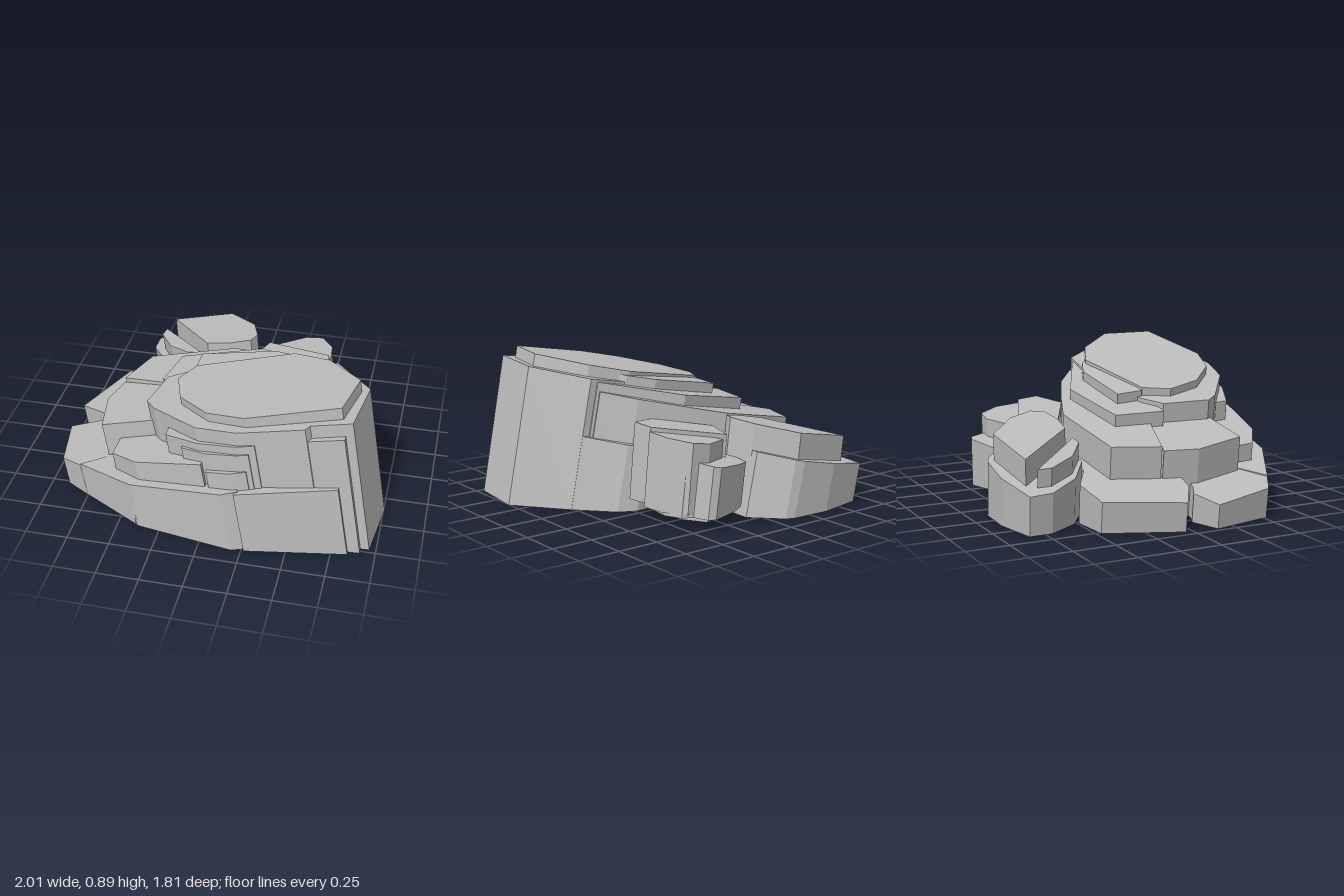
import * as THREE from 'three';

const stone = new THREE.MeshStandardMaterial({ color: 0xbcbcbc, side: THREE.DoubleSide });
stone.name = 'grey stone';

// The strata lean: every slab drifts towards +x (and slightly +z) as it goes down,
// and every top surface rises gently towards the front.
const LEAN_X = 0.17, LEAN_Z = 0.045, SLOPE_Z = 0.06;

// A slab: top outline [x, z], top plane y = h + slope * x + SLOPE_Z * z, down to the floor.
// Slabs that reach the ground are left open underneath.
function slab(name, outline, h, slope, floor = 0, leanX = LEAN_X) {
  const shape = new THREE.Shape(outline.map(([x, z]) => new THREE.Vector2(x, -z)));
  const solid = new THREE.ExtrudeGeometry(shape, { depth: 1, bevelEnabled: false });
  solid.rotateX(-Math.PI / 2);
  const bottomFloats = floor === 0 ? (outline.length - 2) * 9 : 0;
  const geo = new THREE.BufferGeometry();
  geo.setAttribute('position', new THREE.BufferAttribute(solid.attributes.position.array.slice(bottomFloats), 3));
  const p = geo.attributes.position;
  for (let i = 0; i < p.count; i++) {
    const x = p.getX(i), z = p.getZ(i), top = h + slope * x + SLOPE_Z * z;
    if (p.getY(i) > 0.5) p.setXYZ(i, x, top, z);
    else p.setXYZ(i, x + leanX * (top - floor), floor, z + LEAN_Z * (top - floor));
  }
  geo.computeVertexNormals();
  const mesh = new THREE.Mesh(geo, stone);
  mesh.name = name;
  return mesh;
}

function cluster(name, slabs) {
  const g = new THREE.Group();
  g.name = name;
  slabs.forEach(s => g.add(slab(...s)));
  return g;
}

// Crossing ribs below the ceiling of the underside, cut to its convex outline
function ribs(outline, height, spacing) {
  const g = new THREE.Group();
  g.name = 'undersideRibs';
  for (const side of [-1, 1]) {
    for (let c = -2; c <= 2; c += spacing) {
      const hits = [];
      outline.forEach(([x0, z0], i) => {
        const [x1, z1] = outline[(i + 1) % outline.length];
        const d0 = x0 + side * z0 - c, d1 = x1 + side * z1 - c;
        if (d0 * d1 < 0) {
          const t = d0 / (d0 - d1);
          hits.push(new THREE.Vector2(x0 + t * (x1 - x0), z0 + t * (z1 - z0)));
        }
      });
      if (hits.length !== 2) continue;
      const [a, b] = hits;
      const rib = new THREE.Mesh(new THREE.BoxGeometry(a.distanceTo(b), height, 0.015), stone);
      rib.name = 'rib';
      rib.position.set((a.x + b.x) / 2, height / 2, (a.y + b.y) / 2);
      rib.rotation.y = -Math.atan2(b.y - a.y, b.x - a.x);
      g.add(rib);
    }
  }
  return g;
}

export function createModel() {
  const model = new THREE.Group();
  model.name = 'layeredRock';

  // Tall central mass with its stacked upper layers
  model.add(cluster('mainRock', [
    ['topCap', [[-0.19, 0.09], [0.38, -0.01], [0.6, 0.09], [0.81, 0.34], [0.75, 0.64], [0.23, 0.72], [0, 0.65], [-0.2, 0.46],
      [-0.27, 0.24]], 0.712, 0.19, 0.5],
    ['upperBlock', [[-0.36, 0.14], [-0.22, 0.06], [0.36, -0.02], [0.64, 0.01], [0.866, 0.32], [0.82, 0.69],
      [0.59, 0.71], [0.57, 0.75], [0.2, 0.78], [-0.05, 0.72], [-0.35, 0.5], [-0.41, 0.42]], 0.658, 0.165],
    ['upperBackStep', [[-0.2, 0.08], [-0.2, -0.08], [0.25, -0.09], [0.41, -0.02], [0.5, 0.1]], 0.695, 0.17],
    ['middleBackStep', [[-0.4, 0.12], [-0.35, -0.17], [-0.03, -0.21], [0.14, -0.23], [0.42, -0.09], [0.6, 0.0], [0.6, 0.2]], 0.635, 0.18],
    ['lowerBackStep', [[-0.59, -0.32], [-0.06, -0.37], [0.14, -0.29], [0.43, -0.16], [0.6, -0.02], [0.5, 0.2], [-0.36, 0.05],
      [-0.69, -0.05]], 0.57, 0.2],
    ['rightBackFoot', [[0.3, -0.22], [0.42, -0.23], [0.52, -0.18], [0.7, 0.03], [0.6, 0.3], [0.2, 0.1]], 0.325, 0.15],
    ['leftShoulder', [[-0.69, -0.04], [-0.36, 0.05], [-0.2, 0.2], [-0.2, 0.44], [-0.41, 0.45], [-0.68, 0.47], [-0.74, 0.16]], 0.555, 0.215],
  ]));

  // Thin steps stacked against the front
  model.add(cluster('frontSteps', [
    ['frontStepHigh', [[-0.24, 0.5], [-0.24, 0.65], [-0.03, 0.75], [0.2, 0.795], [0.3, 0.785], [0.3, 0.5]], 0.57, 0.18],
    ['frontStepMiddle', [[-0.13, 0.6], [-0.13, 0.72], [0.03, 0.785], [0.2, 0.805], [0.27, 0.8], [0.27, 0.6]], 0.52, 0.17],
    ['frontStepLeft', [[-0.57, 0.47], [-0.57, 0.63], [-0.4, 0.74], [0, 0.8], [0, 0.5], [-0.38, 0.44]], 0.455, 0.225],
    ['frontStepSmall', [[0.03, 0.7], [0.03, 0.81], [0.16, 0.83], [0.26, 0.815], [0.26, 0.7]], 0.41, 0.18],
    ['frontApron', [[-0.79, 0.59], [-0.57, 0.46], [0.1, 0.4], [0.22, 0.85], [0.13, 0.885], [-0.42, 0.8]], 0.305, 0.155],
    ['frontPanel', [[0.2, 0.6], [0.2, 0.876], [0.77, 0.775], [0.77, 0.6]], 0.31, 0.105],
    ['frontWall', [[-0.05, 0.5], [-0.05, 0.715], [0.2, 0.775], [0.785, 0.735], [0.785, 0.5]], 0.575, 0.17],
  ]));

  // Low slabs spreading out on the right-hand flank
  model.add(cluster('flankSlabs', [
    ['flankFront', [[-1, 0.14], [-0.82, 0.08], [-0.74, 0.12], [-0.4, 0.2], [-0.5, 0.5], [-0.79, 0.59], [-0.925, 0.51]], 0.32, 0.185],
    ['flankBack', [[-0.98, -0.05], [-0.8, -0.48], [-0.56, -0.5], [-0.4, -0.4], [0.05, -0.38], [0.05, -0.25], [-0.4, -0.2],
      [-0.5, 0.1], [-0.8, 0.06]], 0.372, 0.2],
  ]));

  // Separate boulder at the back right
  model.add(cluster('backBoulder', [
    ['boulderCap', [[-0.57, -0.83], [-0.19, -0.865], [0, -0.68], [0.05, -0.53], [0.02, -0.46], [-0.12, -0.435], [-0.26, -0.45]],
      0.575, 0.2, 0.07, 0.08],
    ['boulderChip', [[-0.62, -0.78], [-0.3, -0.42], [-0.38, -0.42], [-0.53, -0.53], [-0.63, -0.7]], 0.53, 0.2, 0.05],
    ['boulderBase', [[-0.69, -0.855], [-0.42, -0.91], [-0.19, -0.9], [-0.14, -0.88], [0.01, -0.72], [0, -0.5], [-0.1, -0.42], [-0.38, -0.4],
      [-0.57, -0.53], [-0.69, -0.72]], 0.42, 0.2],
  ]));

  // Separate boulder at the back left, lifted a little off the ground
  model.add(cluster('sideBoulder', [
    ['sideCap', [[0.12, -0.585], [0.53, -0.41], [0.545, -0.28], [0.36, -0.19], [0.04, -0.36]], 0.49, 0.14, 0.1, 0.06],
    ['sideMiddle', [[0.16, -0.6], [0.34, -0.7], [0.45, -0.69], [0.53, -0.56], [0.54, -0.41], [0.3, -0.4]], 0.465, 0.14, 0.08, 0.06],
    ['sideBase', [[0.06, -0.68], [0.16, -0.74], [0.34, -0.8], [0.38, -0.78], [0.41, -0.69], [0.47, -0.66], [0.51, -0.56], [0.48, -0.36],
      [0.3, -0.27], [0.02, -0.38]], 0.355, 0.14, 0.06, 0.09],
    ['sideFoot', [[0.14, -0.62], [0.34, -0.7], [0.42, -0.56], [0.4, -0.36], [0.2, -0.34]], 0.2, 0.1, 0.02, 0.06],
  ]));

  // Shallow recessed underside
  const under = [[-0.72, 0.57], [-0.4, 0.8], [0.17, 0.87], [0.83, 0.75], [0.93, 0.7], [0.97, 0.36], [0.75, 0.08], [0.54, -0.14],
    [0.44, -0.19], [0, -0.28], [-0.48, -0.26], [-0.62, 0], [-0.68, 0.2]];
  model.add(slab('undersideCeiling', under, 0.12, 0, 0.07, 0), ribs(under, 0.07, 0.2));

  return model;
}
